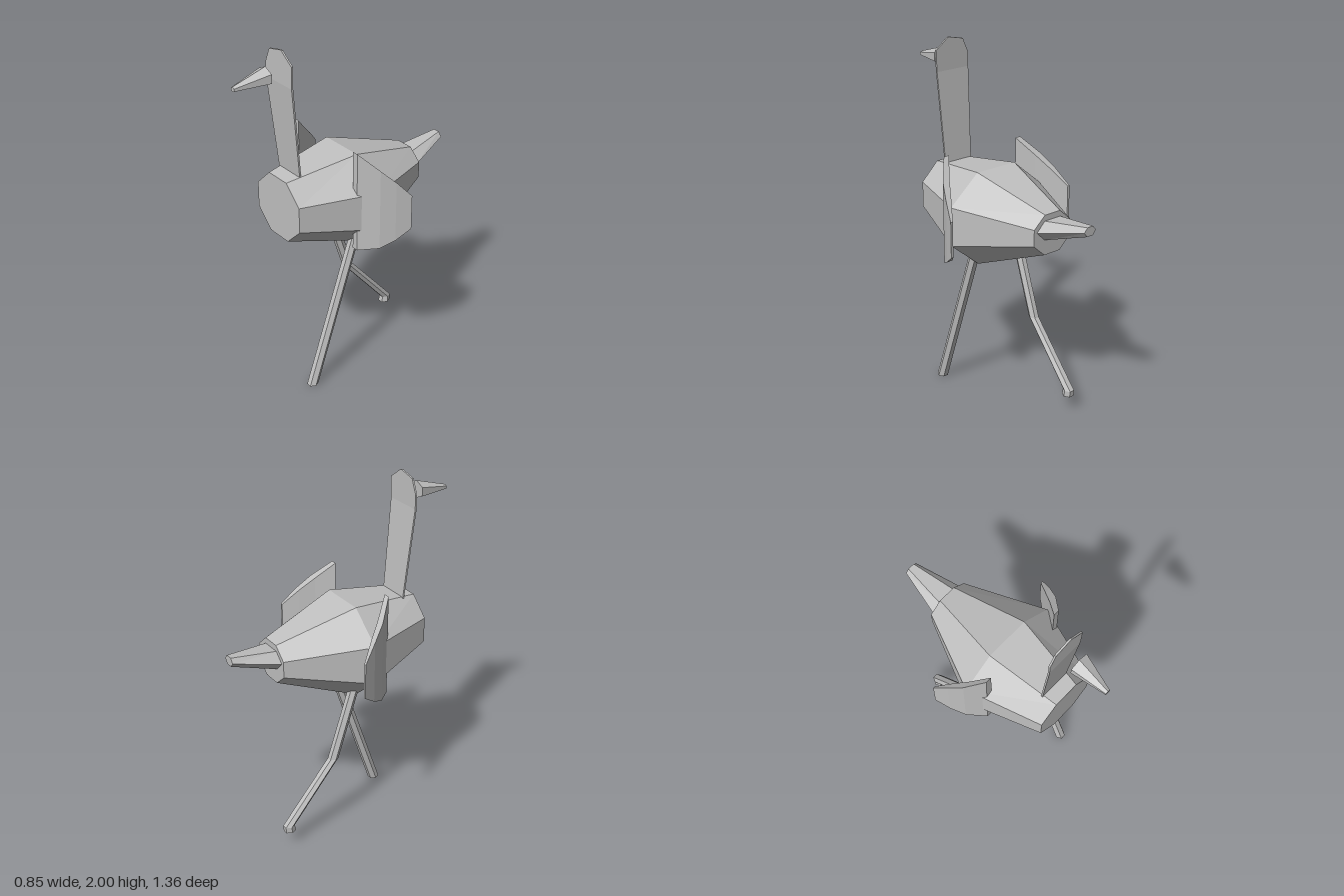
import * as THREE from 'three';

// Faceted solid through a series of closed rings, capped at both ends
function loft(rings) {
  const tris = [];
  const n = rings[0].length;
  for (let i = 0; i < rings.length - 1; i++) {
    for (let j = 0; j < n; j++) {
      const k = (j + 1) % n;
      const a = rings[i][j], b = rings[i][k], c = rings[i + 1][k], d = rings[i + 1][j];
      tris.push([a, b, c], [a, c, d]);
    }
  }
  const first = rings[0], last = rings[rings.length - 1];
  for (let j = 1; j < n - 1; j++) {
    tris.push([first[0], first[j + 1], first[j]], [last[0], last[j], last[j + 1]]);
  }
  // Turn the faces outward whatever the ring direction
  const volume = tris.reduce((s, [a, b, c]) => s + a.dot(b.clone().cross(c)), 0);
  const points = tris.flatMap(([a, b, c]) => (volume < 0 ? [a, c, b] : [a, b, c]));
  const geometry = new THREE.BufferGeometry().setFromPoints(points);
  geometry.computeVertexNormals();
  return geometry;
}

// Upright elliptical ring facing z
function ringZ(sides, x, y, z, rx, ry, turn = 0) {
  return Array.from({ length: sides }, (_, i) => {
    const a = ((i + turn) / sides) * Math.PI * 2;
    return new THREE.Vector3(x + Math.cos(a) * rx, y + Math.sin(a) * ry, z);
  });
}

// Horizontal hexagonal ring
function ringY(x, y, z, r) {
  return Array.from({ length: 6 }, (_, i) => {
    const a = (i / 6) * Math.PI * 2;
    return new THREE.Vector3(x + Math.sin(a + Math.PI / 6) * r, y, z + Math.cos(a + Math.PI / 6) * r * 1.1);
  });
}

export function createModel() {
  const group = new THREE.Group();
  const grey = new THREE.MeshStandardMaterial({ color: 0xc0c0c0 });
  grey.name = 'plainGrey';
  grey.flatShading = true;

  const add = (name, rings) => {
    const mesh = new THREE.Mesh(loft(rings), grey);
    mesh.name = name;
    group.add(mesh);
  };

  // Body: octagonal barrel, widest in the middle
  const flat = 1 / Math.cos(Math.PI / 8);
  add('body', [
    [1.125, 0.445, 0.183, 0.175],
    [1.088, 0.025, 0.315, 0.265],
    [1.112, -0.422, 0.127, 0.112],
  ].map(([y, z, w, h]) => ringZ(8, 0, y, z, w * flat, h * flat, 0.5)));

  // Tail: tapered and slightly raised
  add('tail', [
    ringZ(6, 0, 1.135, -0.41, 0.112, 0.063),
    ringZ(6, -0.017, 1.195, -0.68, 0.04, 0.029),
  ]);

  // Neck and head: one flat upright plate, [y, left x, right x]
  add('neckAndHead', [
    [1.3, -0.095, 0.085],
    [1.82, -0.12, 0.097],
    [1.9, -0.12, 0.1],
    [1.94, -0.102, 0.1],
    [1.98, -0.085, 0.045],
    [2.0, 0.005, 0.02],
  ].map(([y, x0, x1]) => {
    const z = 0.36 + Math.min(0.047, (y - 1.3) * 0.09);
    const t = 0.005;
    return [[x0, z - t], [x1, z - t], [x1, z + t], [x0, z + t]].map(([x, d]) => new THREE.Vector3(x, y, d));
  }));

  // Beak: hexagonal spike in front of the head
  add('beak', [
    ringZ(6, -0.008, 1.88, 0.49, 0.062, 0.049, 0.5),
    ringZ(6, -0.014, 1.857, 0.68, 0.016, 0.014, 0.5),
  ]);

  // Wings: curved plates flaring backwards, [z, outer x, inner x, low y, high y]
  for (const side of [1, -1]) {
    add(side > 0 ? 'leftWing' : 'rightWing', [
      [0.135, 0.27, 0.235, 0.87, 1.445],
      [0.045, 0.35, 0.305, 0.885, 1.35],
      [-0.03, 0.39, 0.355, 0.925, 1.275],
      [-0.11, 0.424, 0.41, 0.985, 1.185],
    ].map(([z, xo, xi, y0, y1]) => [[xi, y0], [xo, y0], [xo, y1], [xi, y1]]
      .map(([x, y]) => new THREE.Vector3(side * x, y, z))));
  }

  // Standing leg, straight and stretched forward
  add('leftLeg', [
    ringY(0.14, 0.92, 0.03, 0.028),
    ringY(0.143, 0, 0.348, 0.03),
  ]);

  // Lifted leg, bent at the knee and trailing behind
  add('rightLeg', [
    ringY(-0.143, 0.92, 0.02, 0.028),
    ringY(-0.146, 0.47, -0.13, 0.028),
    ringY(-0.146, 0.125, -0.425, 0.03),
    ringY(-0.146, 0.09, -0.42, 0.032),
  ]);

  return group;
}
